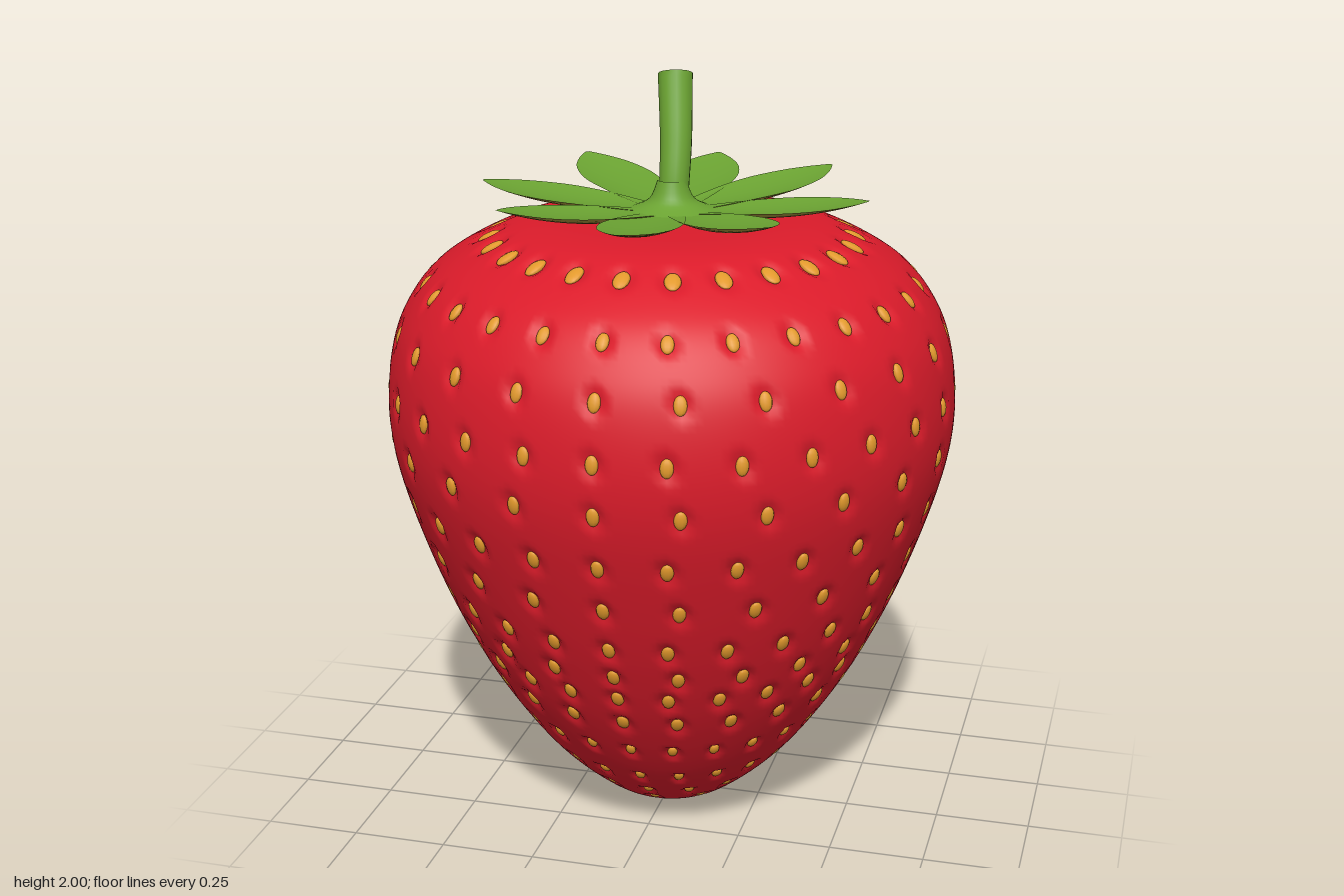
import * as THREE from 'three';
import { mergeGeometries, mergeVertices } from 'three/addons/utils/BufferGeometryUtils.js';

const material = (name, color) => {
  const m = new THREE.MeshStandardMaterial({ color });
  m.name = name;
  return m;
};
const red = material('berryRed', 0xdb1b2a);
const gold = material('seedGold', 0xe2992c);
const green = material('leafGreen', 0x6ba332);
const olive = material('leafUnderside', 0xa8943c);

const add = (group, name, geometry, mat) => {
  const mesh = new THREE.Mesh(geometry, mat);
  mesh.name = name;
  group.add(mesh);
};
const points = (list) => list.map(([x, y]) => new THREE.Vector2(x, y));

// Berry outline, from the bottom tip to the flat top
const outline = new THREE.SplineCurve(points([
  [0, 0.003], [0.1, 0.012], [0.2, 0.062], [0.345, 0.2], [0.485, 0.4], [0.588, 0.6], [0.667, 0.8],
  [0.727, 1.0], [0.745, 1.15], [0.73, 1.3], [0.69, 1.41], [0.61, 1.51], [0.47, 1.592],
  [0.36, 1.625], [0.2, 1.632], [0, 1.63],
])).getSpacedPoints(150);
outline.forEach((p) => { p.x = Math.max(p.x, 0); });

// A seed: its place on the skin, and its across, along and outward directions
function seedFrame(row, angle) {
  const i = outline.findIndex((p) => p.y >= row);
  const p = outline[i];
  const t = outline[i + 1].clone().sub(outline[i - 1]).normalize();
  const s = Math.sin(angle), c = Math.cos(angle);
  return {
    position: new THREE.Vector3(p.x * s, p.y, p.x * c),
    across: new THREE.Vector3(c, 0, -s),
    along: new THREE.Vector3(t.x * s, t.y, t.x * c),
    out: new THREE.Vector3(t.y * s, -t.x, t.y * c),
    size: row > 1.55 ? 1.3 : row < 0.3 ? 0.8 : 1,
  };
}

// Rows of seeds as [height, count]
function seedFrames() {
  const rows = [
    [1.585, 24], [1.475, 26], [1.345, 22], [1.195, 26], [1.065, 22], [0.925, 26], [0.795, 22], [0.665, 26],
    [0.57, 22], [0.5, 26], [0.41, 22], [0.295, 24], [0.18, 20], [0.1, 14], [0.05, 9],
  ];
  return rows.flatMap(([row, count]) =>
    Array.from({ length: count }, (_, k) => seedFrame(row, (k / count) * Math.PI * 2)));
}

// Skin with a shallow dimple under each seed
function berryGeometry(frames) {
  let geometry = new THREE.LatheGeometry(outline, 260);
  geometry.deleteAttribute('uv');
  geometry.deleteAttribute('normal');
  geometry = mergeVertices(geometry, 1e-5);
  const pos = geometry.attributes.position;
  const v = new THREE.Vector3(), d = new THREE.Vector3();
  for (let i = 0; i < pos.count; i++) {
    v.fromBufferAttribute(pos, i);
    for (const f of frames) {
      d.subVectors(v, f.position);
      if (d.lengthSq() > 0.006) continue;
      const q = Math.hypot(d.dot(f.across) / 0.034, d.dot(f.along) / 0.044) / f.size;
      if (q < 1) v.addScaledVector(f.out, -0.016 * (1 - q * q) ** 1.5);
    }
    pos.setXYZ(i, v.x, v.y, v.z);
  }
  geometry.computeVertexNormals();
  return geometry;
}

// Small flat ellipsoids resting in the dimples
function seedsGeometry(frames) {
  return mergeGeometries(frames.map((f) => {
    const m = new THREE.Matrix4().makeBasis(f.across, f.along, f.out);
    m.scale(new THREE.Vector3(0.0165 * f.size, 0.0245 * f.size, 0.009));
    m.setPosition(f.position.clone().addScaledVector(f.out, -0.008));
    return new THREE.SphereGeometry(1, 10, 8).applyMatrix4(m);
  }));
}

// One face of a cupped leaf pointing along +z; side is 1 for the top, -1 for the underside
function leafGeometry(side, length, lift) {
  const geometry = new THREE.PlaneGeometry(2, 1, 10, 20);
  const pos = geometry.attributes.position;
  const widths = new THREE.SplineCurve(points([
    [0, 0.03], [0.2, 0.062], [0.42, 0.09], [0.62, 0.099], [0.8, 0.08], [0.92, 0.045], [1, 0.006],
  ]));
  for (let i = 0; i < pos.count; i++) {
    const a = pos.getX(i);
    const p = widths.getPoint(0.5 - pos.getY(i));
    const u = p.x;
    const thick = 0.008 * (1 - a * a) * (1 - u ** 4);
    const y = 1.646 + lift * u ** 2.6 + 0.02 * a * a * Math.sin(u * Math.PI) + side * thick;
    pos.setXYZ(i, a * p.y, y, u * length);
  }
  if (side < 0) geometry.index.array.reverse();
  geometry.computeVertexNormals();
  return geometry;
}

// Curved stalk with a closed end
function stemGeometry() {
  const path = new THREE.CatmullRomCurve3([
    [0.004, 1.64, 0.005], [0.004, 1.72, -0.008], [0, 1.82, -0.04], [-0.018, 1.985, -0.102],
  ].map((p) => new THREE.Vector3(...p)));
  const steps = 24, sides = 20;
  const tube = new THREE.TubeGeometry(path, steps, 1, sides);
  const pos = tube.attributes.position, v = new THREE.Vector3();
  for (let i = 0; i < pos.count; i++) {
    const u = Math.floor(i / (sides + 1)) / steps;
    const c = path.getPointAt(u);
    v.fromBufferAttribute(pos, i).sub(c).multiplyScalar(0.037 + 0.008 * u).add(c);
    pos.setXYZ(i, v.x, v.y, v.z);
  }
  tube.computeVertexNormals();
  const cap = new THREE.CircleGeometry(0.045, sides);
  cap.applyQuaternion(new THREE.Quaternion().setFromUnitVectors(new THREE.Vector3(0, 0, 1), path.getTangentAt(1)));
  const end = path.getPointAt(1);
  cap.translate(end.x, end.y, end.z);
  return mergeGeometries([tube, cap]);
}

export function createModel() {
  const model = new THREE.Group();
  model.name = 'strawberry';
  const frames = seedFrames();
  add(model, 'berry', berryGeometry(frames), red);
  add(model, 'seeds', seedsGeometry(frames), gold);

  // Ring of eight leaves, the diagonal ones a little closer to the front and back
  const crown = new THREE.Group();
  crown.name = 'leafCrown';
  const angles = [0, 42, 90, 138, 180, 222, 270, 318];
  angles.forEach((angle) => {
    const leaf = new THREE.Group();
    leaf.name = 'leaf';
    const lift = angle % 90 ? 0.066 : 0.056;
    add(leaf, 'leafTop', leafGeometry(1, 0.512, lift), green);
    add(leaf, 'leafUnderside', leafGeometry(-1, 0.512, lift), olive);
    leaf.rotation.y = THREE.MathUtils.degToRad(angle);
    crown.add(leaf);
  });
  // Smooth flare joining the leaves to the stem
  const flare = new THREE.SplineCurve(points([[0.13, 1.648], [0.085, 1.664], [0.055, 1.685], [0.037, 1.73]]));
  add(crown, 'leafHub', new THREE.LatheGeometry(flare.getPoints(10), 32), green);
  model.add(crown);

  add(model, 'stem', stemGeometry(), green);
  return model;
}
